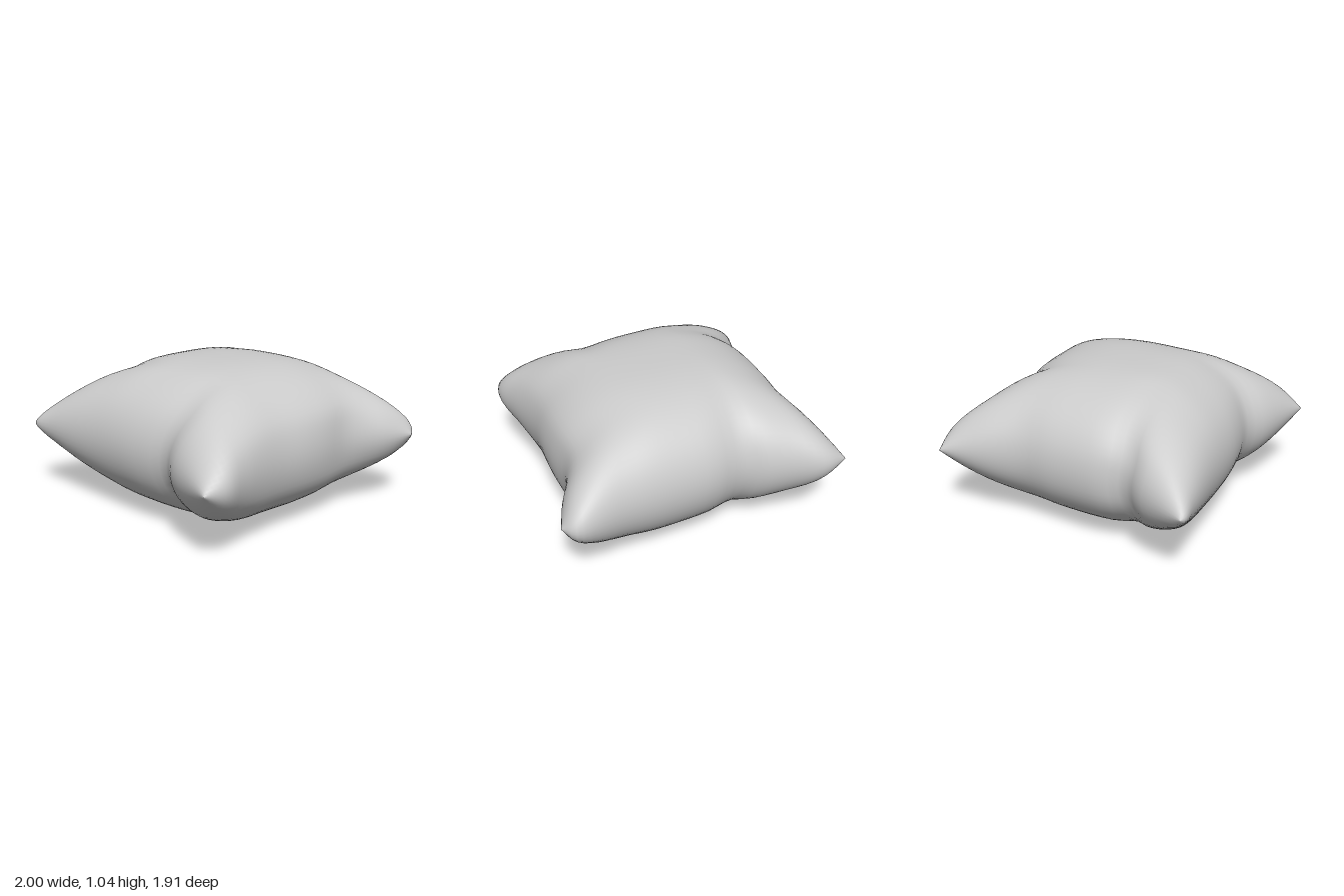
import * as THREE from 'three';
import { mergeGeometries, mergeVertices } from 'three/addons/utils/BufferGeometryUtils.js';

const MID = 0.52; // seam height, also half the thickness
const SEGMENTS = 40;

// Seam outline as four [x, z] edges that share their corner points
const edge = (points) => new THREE.CatmullRomCurve3(
  points.map(([x, z]) => new THREE.Vector3(x, MID, z)), false, 'centripetal');

const back = edge([[-0.965, -0.91], [-0.8, -0.955], [-0.6, -0.9], [-0.4, -0.845], [-0.28, -0.785],
  [-0.18, -0.8], [-0.07, -0.835], [0.25, -0.865], [0.55, -0.89], [0.92, -0.95], [0.995, -0.865]]);
const front = edge([[-1, 0.9], [-0.97, 0.92], [-0.8, 0.9], [-0.4, 0.85], [0, 0.815],
  [0.18, 0.785], [0.32, 0.765], [0.49, 0.85], [0.9, 0.95]]);
const left = edge([[0.995, -0.865], [0.93, -0.68], [0.845, -0.5], [0.815, -0.38], [0.835, -0.15],
  [0.84, 0], [0.835, 0.23], [0.855, 0.41], [0.9, 0.62], [0.945, 0.8], [0.9, 0.95]]);
const right = edge([[-0.965, -0.91], [-0.9, -0.64], [-0.83, -0.35], [-0.84, -0.13], [-0.835, 0.24],
  [-0.79, 0.41], [-0.88, 0.55], [-0.95, 0.73], [-1, 0.9]]);

// Blend the four edges across the panel; s and t run from 0 to 1
function panelPoint(s, t) {
  const add = (target, point, weight) => target.addScaledVector(point, weight);
  const p = new THREE.Vector3();
  add(p, back.getPointAt(s), 1 - t);
  add(p, front.getPointAt(s), t);
  add(p, right.getPointAt(t), 1 - s);
  add(p, left.getPointAt(t), s);
  add(p, back.getPointAt(0), -(1 - s) * (1 - t));
  add(p, back.getPointAt(1), -s * (1 - t));
  add(p, front.getPointAt(0), -(1 - s) * t);
  add(p, front.getPointAt(1), -s * t);
  return p;
}

// One puffed panel: side is 1 for the top, -1 for the underside
function panel(side) {
  const geometry = new THREE.PlaneGeometry(2, 2, SEGMENTS, SEGMENTS).rotateX(-side * Math.PI / 2);
  geometry.deleteAttribute('uv');
  geometry.deleteAttribute('normal');
  const position = geometry.attributes.position;
  const fullness = (w) => Math.max(0, 1 - Math.abs(w) ** 2.7);
  for (let i = 0; i < position.count; i++) {
    // Rows crowd towards the seam so that the sides stay round
    const u = Math.sin(position.getX(i) * Math.PI / 2);
    const v = Math.sin(position.getZ(i) * Math.PI / 2);
    const p = panelPoint((u + 1) / 2, (v + 1) / 2);
    const puff = MID * Math.sqrt(fullness(u) * fullness(v));
    position.setXYZ(i, p.x, MID + side * puff, p.z);
  }
  return geometry;
}

export function createModel() {
  const group = new THREE.Group();
  group.name = 'pillow';

  // Weld the panels at the seam for smooth shading all round
  const geometry = mergeVertices(mergeGeometries([panel(1), panel(-1)]), 1e-4);
  geometry.computeVertexNormals();
  const cushion = new THREE.Mesh(geometry, new THREE.MeshStandardMaterial({ color: 0xcccccc }));
  cushion.name = 'cushion';
  group.add(cushion);
  return group;
}
